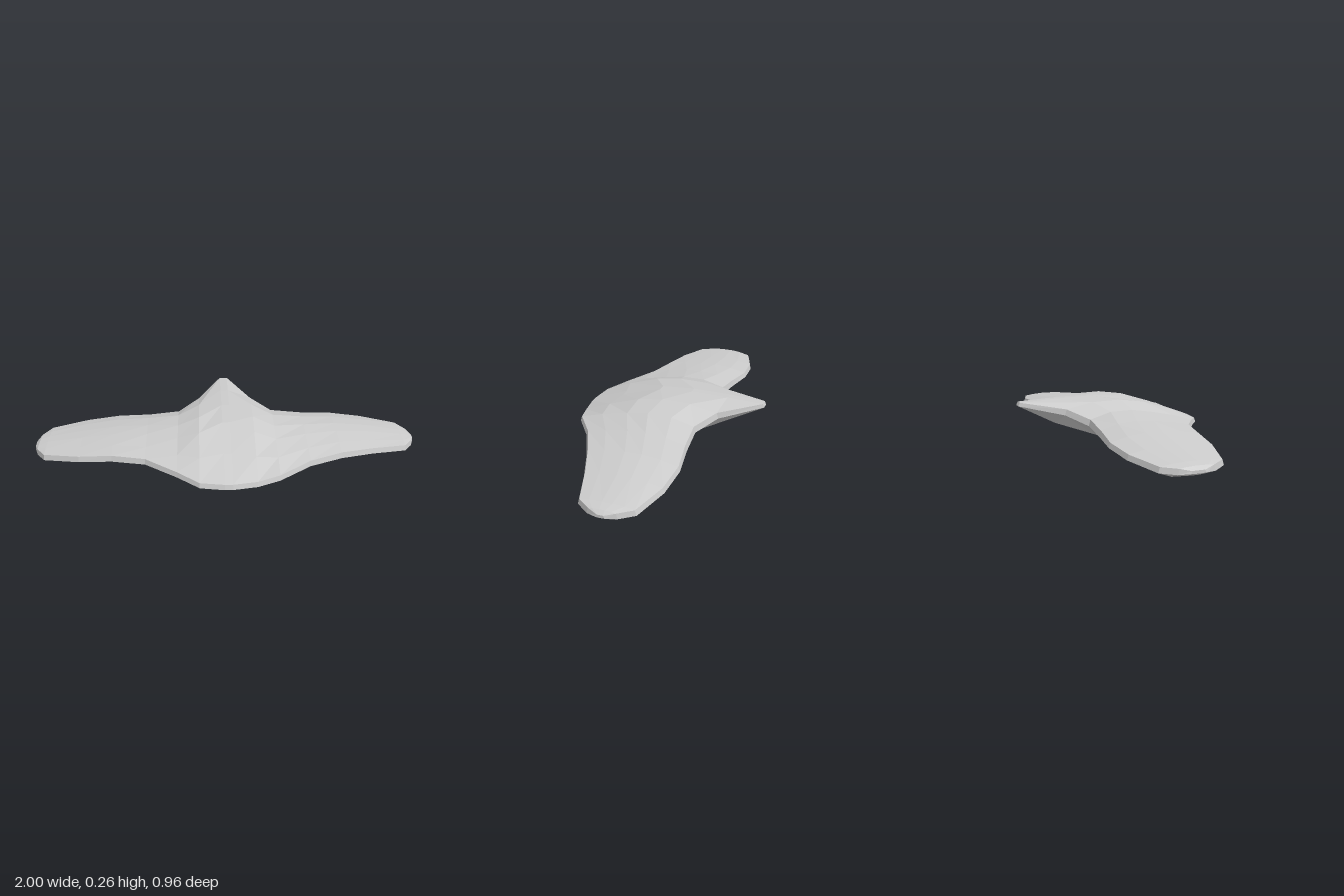
import * as THREE from 'three';

// Half-span stations: x, leading edge z on the left (+x) and right (-x), trailing edge z,
// rim heights [low, high] at front and back, top heights, belly heights
const STATIONS = [
  { x: 0.02, front: [0.478, 0.478], back: -0.485, rimF: [0.095, 0.12], rimB: [0.23, 0.248], top: [0.185, 0.248, 0.26, 0.256], belly: [0.0, 0.025, 0.13] },
  { x: 0.14, front: [0.46, 0.462], back: -0.28, rimF: [0.098, 0.122], rimB: [0.19, 0.22], top: [0.178, 0.23, 0.25, 0.247], belly: [0.012, 0.022, 0.085] },
  { x: 0.25, front: [0.43, 0.385], back: -0.197, rimF: [0.113, 0.138], rimB: [0.15, 0.182], top: [0.17, 0.197, 0.214, 0.213], belly: [0.06, 0.062, 0.1] },
  { x: 0.41, front: [0.32, 0.278], back: -0.207, rimF: [0.125, 0.152], rimB: [0.13, 0.16], top: [0.17, 0.187, 0.192, 0.185], belly: [0.105, 0.1, 0.108] },
  { x: 0.58, front: [0.238, 0.235], back: -0.233, rimF: [0.12, 0.149], rimB: [0.118, 0.142], top: [0.161, 0.17, 0.171, 0.162], belly: [0.096, 0.09, 0.097] },
  { x: 0.75, front: [0.172, 0.21], back: -0.22, rimF: [0.105, 0.132], rimB: [0.1, 0.125], top: [0.14, 0.147, 0.147, 0.14], belly: [0.08, 0.075, 0.08] },
  { x: 0.935, front: [0.112, 0.152], back: -0.163, rimF: [0.086, 0.113], rimB: [0.084, 0.11], top: [0.118, 0.121, 0.121, 0.117], belly: [0.062, 0.058, 0.062] },
  { x: 0.98, front: [0.05, 0.085], back: -0.095, rimF: [0.08, 0.108], rimB: [0.08, 0.106], top: [0.111, 0.112, 0.112, 0.11], belly: [0.073, 0.071, 0.073] },
  { x: 1.0, front: [0.0, 0.03], back: -0.045, rimF: [0.084, 0.096], rimB: [0.084, 0.096], top: [0.097, 0.097, 0.097, 0.097], belly: [0.083, 0.083, 0.083] },
];
const TOP_T = [0.2, 0.42, 0.6, 0.8];
const BELLY_T = [0.33, 0.5, 0.8];

// Closed cross-section: up the front rim, over the back, down the rear rim, along the belly
function section(s, side) {
  const x = s.x * side;
  const front = s.front[side > 0 ? 0 : 1];
  const at = (t) => front + (s.back - front) * t;
  const inset = 0.008;
  return [
    [x, s.rimF[0], front],
    [x, s.rimF[1], front - inset],
    ...TOP_T.map((t, i) => [x, s.top[i], at(t)]),
    [x, s.rimB[1], s.back + inset],
    [x, s.rimB[0], s.back],
    ...BELLY_T.map((t, i) => [x, s.belly[i], at(t)]).reverse(),
  ];
}

// Skin a row of sections running towards +x and close both ends
function loft(rings) {
  const n = rings[0].length;
  const last = (rings.length - 1) * n;
  const index = [];
  for (let i = 0; i < rings.length - 1; i++) {
    for (let j = 0; j < n; j++) {
      const k = (j + 1) % n;
      const a = i * n + j, b = i * n + k, c = b + n, d = a + n;
      index.push(a, d, c, a, c, b);
    }
  }
  for (let j = 1; j < n - 1; j++) {
    index.push(0, j, j + 1);
    index.push(last, last + j + 1, last + j);
  }
  const geometry = new THREE.BufferGeometry();
  geometry.setAttribute('position', new THREE.Float32BufferAttribute(rings.flat(2), 3));
  geometry.setIndex(index);
  const faceted = geometry.toNonIndexed();
  faceted.computeVertexNormals();
  return faceted;
}

export function createModel() {
  const group = new THREE.Group();
  group.name = 'glider';
  const material = new THREE.MeshStandardMaterial({ color: 0xcccccc, flatShading: true });

  // Blended body, wings and tail as one continuous skin from wing tip to wing tip
  const rings = [
    ...STATIONS.map((s) => section(s, -1)).reverse(),
    ...STATIONS.map((s) => section(s, 1)),
  ];
  const body = new THREE.Mesh(loft(rings), material);
  body.name = 'wingedBody';
  group.add(body);
  return group;
}
